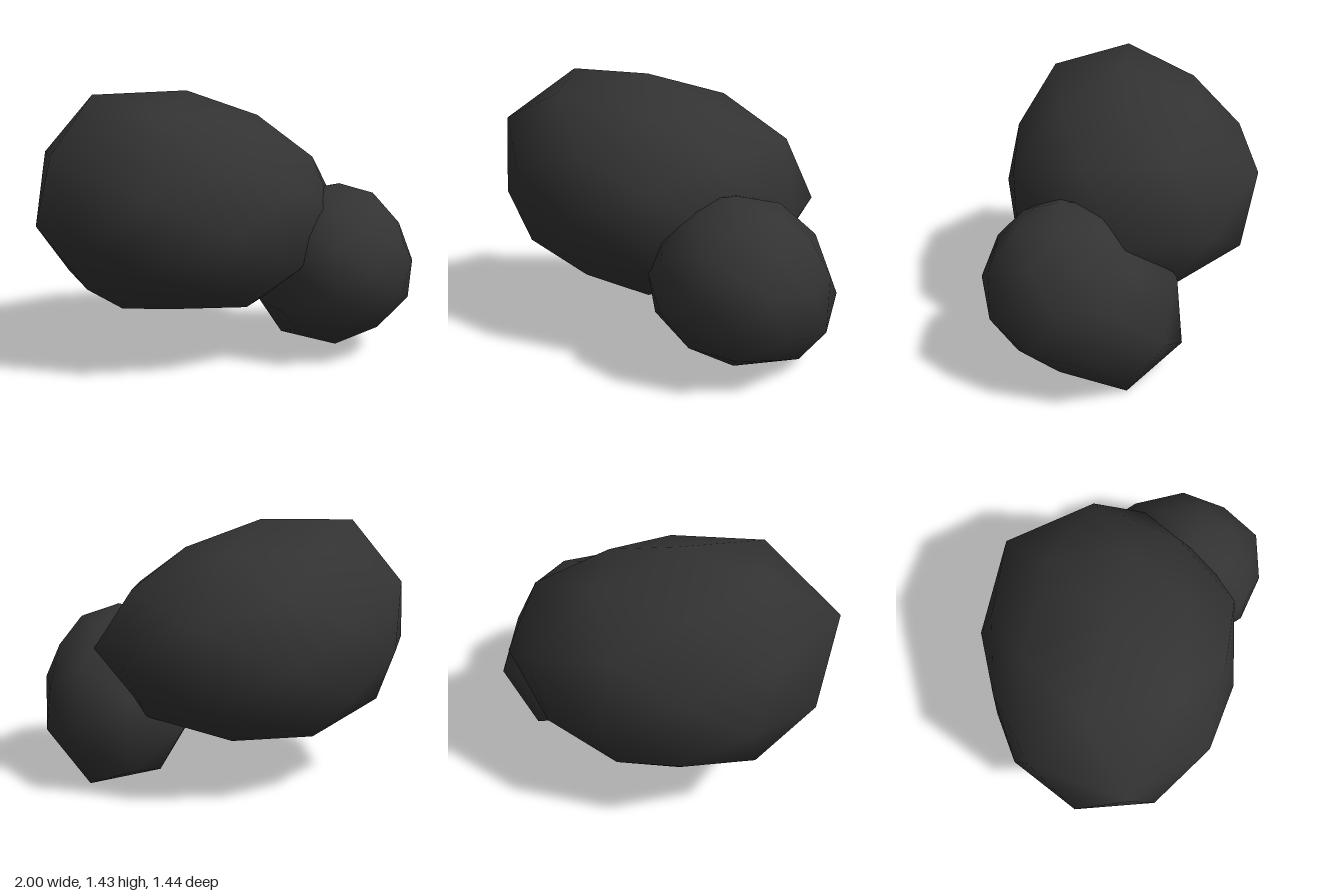
import * as THREE from 'three';
import { mergeVertices } from 'three/addons/utils/BufferGeometryUtils.js';

const stone = new THREE.MeshStandardMaterial({ color: 0x333333 });
stone.name = 'dark stone';

// Radius of the stone along some directions: [x, y, z, radius]
const bigBumps = [
  [1, 0, 0, 0.91], [-1, 0, 0, 0.82], [0, 1, 0, 0.84], [0, -1, 0, 0.632], [0, 0, 1, 0.75], [0, 0, -1, 0.8],
  [-5, 8, 0, 0.97], [5, 8, 0, 0.78], [-5, -8, 0, 0.71], [5, -8, 0, 0.69],
  [-8, 0, 5, 0.823], [-8, 0, -5, 0.764], [8, 0, -5, 0.928],
  [0, 5, 8, 0.783], [0, 5, -8, 0.805], [0, -5, -8, 0.76],
  [5, 3, -8, 0.925], [-5, 3, -8, 0.73], [-5, -3, -8, 0.755], [-5, 3, 8, 0.83], [-5, -3, 8, 0.76], [5, 0, 8, 0.81],
  [-8, 5, 3, 0.975], [-8, 5, -3, 0.88], [-8, -5, 0, 0.75], [8, 5, -3, 0.89], [8, 5, 3, 0.79],
  [-3, 8, 5, 0.92], [3, 8, 5, 0.77], [-3, 8, -5, 0.83], [3, 8, -5, 0.83],
  [0, -8, -5, 0.7], [-3, -8, 5, 0.655], [3, -8, 5, 0.7],
];
const smallBumps = [
  [1, 0, 0, 0.42], [-1, 0, 0, 0.42], [0, 1, 0, 0.405], [0, -1, 0, 0.495], [0, 0, 1, 0.4], [0, 0, -1, 0.58],
  [5, 8, 0, 0.4], [5, -8, 0, 0.47], [-5, -8, 0, 0.45],
  [8, 5, 3, 0.38], [8, 5, -3, 0.42], [8, -5, -3, 0.53], [8, 0, 5, 0.4], [8, 0, -5, 0.47],
  [5, 0, 8, 0.415], [-5, 0, 8, 0.43], [5, -3, -8, 0.64], [0, -5, -8, 0.72],
  [3, -8, -5, 0.662], [-3, -8, -5, 0.605], [0, 5, -8, 0.41], [3, 8, -5, 0.42],
  [0, 5, 8, 0.365], [0, 8, 5, 0.38], [0, -5, 8, 0.42], [0, -8, 5, 0.42], [-8, -5, 0, 0.48],
];

// Icosphere whose corners are pushed in or out by blending the nearby bumps
function makeStone(name, bumps, stretch, position) {
  const geometry = new THREE.IcosahedronGeometry(1, 1);
  geometry.deleteAttribute('normal');
  geometry.deleteAttribute('uv');
  const merged = mergeVertices(geometry, 1e-3);
  const samples = bumps.map(([x, y, z, r]) => ({ d: new THREE.Vector3(x, y, z).normalize(), r }));
  const points = merged.attributes.position;
  const v = new THREE.Vector3();
  for (let i = 0; i < points.count; i++) {
    v.fromBufferAttribute(points, i).normalize();
    let sum = 0, weight = 0;
    for (const { d, r } of samples) {
      const w = 1 / (v.distanceToSquared(d) ** 2 + 1e-6);
      sum += r * w;
      weight += w;
    }
    v.multiplyScalar(sum / weight).multiply(stretch);
    points.setXYZ(i, v.x, v.y, v.z);
  }
  merged.computeVertexNormals();
  const mesh = new THREE.Mesh(merged, stone);
  mesh.name = name;
  mesh.position.copy(position);
  return mesh;
}

export function createModel() {
  const group = new THREE.Group();
  group.name = 'stones';
  group.add(
    makeStone('largeStone', bigBumps, new THREE.Vector3(1, 0.8, 0.9), new THREE.Vector3(-0.18, 0.76, 0)),
    makeStone('smallStone', smallBumps, new THREE.Vector3(1, 1, 1), new THREE.Vector3(0.57, 0.535, 0.32)),
  );
  return group;
}
